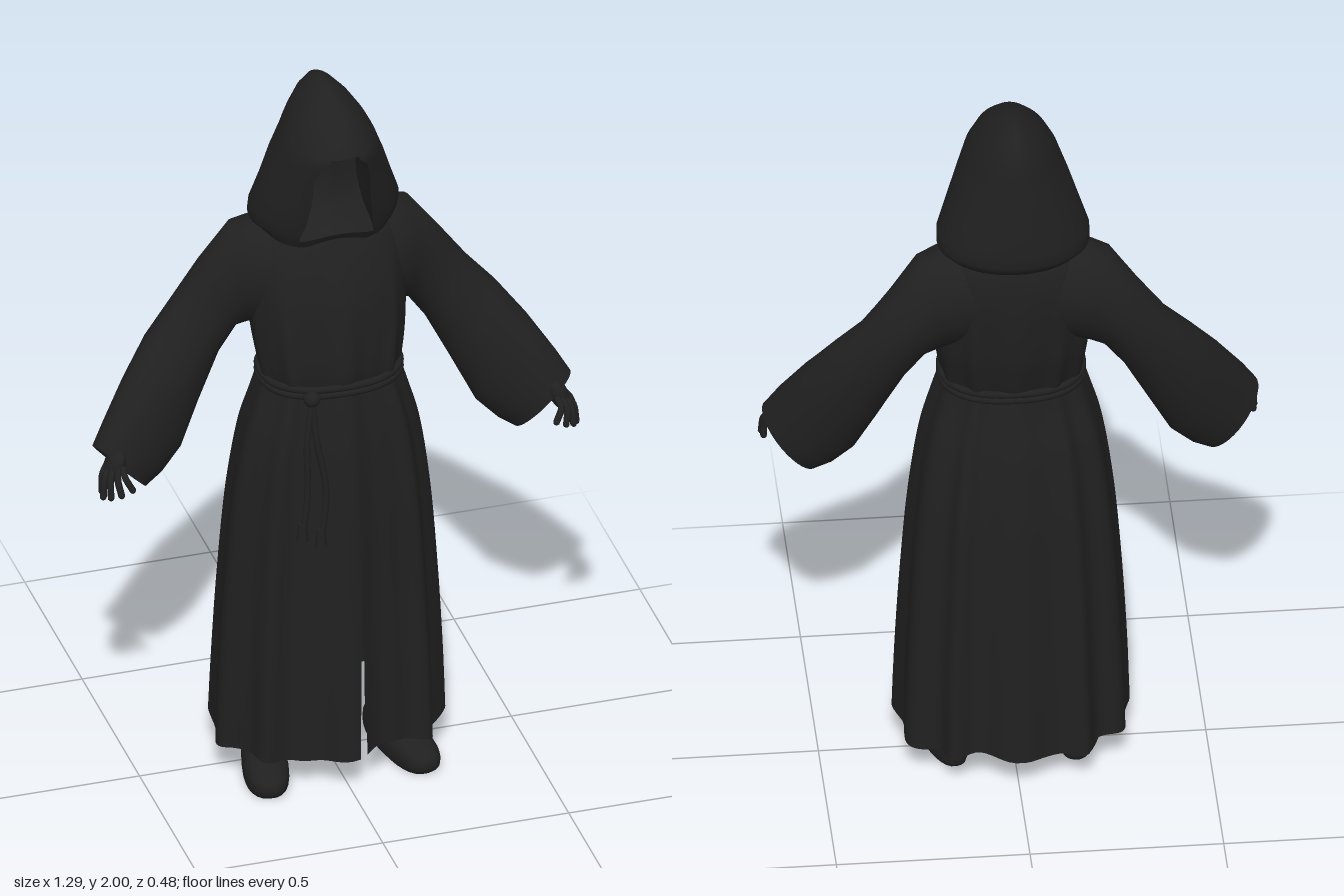
import * as THREE from 'three';
import { toCreasedNormals } from 'three/addons/utils/BufferGeometryUtils.js';

const V = (x, y, z) => new THREE.Vector3(x, y, z);
const cloth = new THREE.MeshStandardMaterial({ color: 0x202020, side: THREE.DoubleSide });
cloth.name = 'black cloth';

function add(group, name, geometry) {
  const mesh = new THREE.Mesh(geometry, cloth);
  mesh.name = name;
  group.add(mesh);
  return mesh;
}

// Skin a list of equal-length point rings
function loft(rows, closed = true) {
  const n = rows[0].length, index = [];
  const spans = closed ? n : n - 1;
  for (let i = 0; i < rows.length - 1; i++) {
    for (let j = 0; j < spans; j++) {
      const k = (j + 1) % n, a = i * n, b = a + n;
      index.push(a + j, a + k, b + k, a + j, b + k, b + j);
    }
  }
  const g = new THREE.BufferGeometry().setFromPoints(rows.flat());
  g.setIndex(index);
  g.computeVertexNormals();
  return g;
}

const power = (v, p) => Math.sign(v) * Math.abs(v) ** p;

// Rounded outline point: half width w, back z and front z, p < 1 is squarer
function outline(t, y, w, back, front, p = 1) {
  return V(w * power(Math.sin(t), p), y, (front + back) / 2 + (front - back) / 2 * power(Math.cos(t), p));
}

// Interpolate profile rows into smooth intermediate rows
function smoothRows(rows, steps) {
  const a = new THREE.CatmullRomCurve3(rows.map((r) => V(r[0], r[1], 0)));
  const b = new THREE.CatmullRomCurve3(rows.map((r) => V(r[2], r[3], 0)));
  return Array.from({ length: steps + 1 }, (_, i) => {
    const p = a.getPoint(i / steps), q = b.getPoint(i / steps);
    return [p.x, p.y, q.x, q.y];
  });
}

// Mirrored pleats: angle from the front and width of each ridge, -1 valley to 1 ridge
const ridges = [[0, 0.16], [0.75, 0.17], [1.4, 0.2], [2.05, 0.18], [2.62, 0.13], [Math.PI, 0.15]];
function folds(t) {
  const a = Math.PI - Math.abs(Math.PI - (t % (Math.PI * 2)));
  const ridge = ridges.reduce((sum, [c, s]) => sum + Math.exp(-(((a - c) / s) ** 2)), 0);
  return 2 * ridge - 1 + 0.15 * Math.sin(17 * t + 1);
}

function pleated(rows, amount, slit, n = 140) {
  return rows.map(([y, w, back, front]) => {
    const gap = slit(y), amp = amount(y);
    return Array.from({ length: n + 1 }, (_, j) => {
      const t = 0.07 + gap + (j / n) * (Math.PI * 2 - 2 * gap);
      const p = outline(t, y, w, back, front, 0.85), f = folds(t);
      p.x *= 1 + amp * 0.4 * (f - 0.7);
      p.z *= 1 + amp * (f - 0.3);
      p.y += y < 0.2 ? 0.008 * Math.sin(5 * t) : 0;
      return p;
    });
  });
}

function addHood(group) {
  // y, half width, back, front, opening half width, depth of recess (null = shut)
  const rows = [
    [1.59, 0.14, -0.13, 0.07, 0.09, null],
    [1.595, 0.175, -0.155, 0.105, 0.1, null],
    [1.615, 0.195, -0.17, 0.118, 0.1, null],
    [1.625, 0.198, -0.173, 0.122, 0.1, 0.1],
    [1.655, 0.197, -0.174, 0.138, 0.09, 0.05],
    [1.72, 0.174, -0.165, 0.155, 0.08, 0.03],
    [1.80, 0.147, -0.158, 0.17, 0.075, 0.03],
    [1.845, 0.129, -0.151, 0.185, 0.06, 0.04],
    [1.866, 0.121, -0.147, 0.188, 0.04, 0.06],
    [1.875, 0.117, -0.146, 0.182, 0.035, null],
    [1.91, 0.099, -0.14, 0.165, 0.03, null],
    [1.95, 0.07, -0.128, 0.115, 0.025, null],
    [1.98, 0.038, -0.105, 0.05, 0.015, null],
    [1.995, 0.016, -0.075, 0.005, 0.006, null],
    [2.0, 0, -0.035, -0.035, 0, null],
  ];
  const rings = rows.map(([y, w, b, f, o, recess]) => {
    const t0 = w ? Math.asin(o / w) : 0.3, ring = [];
    for (let j = 0; j <= 40; j++) ring.push(outline(t0 + (j / 40) * (Math.PI * 2 - 2 * t0), y, w, b, f));
    for (let j = 0; j <= 12; j++) {
      const p = outline(t0 * (j / 6 - 1), y, w, b, f);
      if (recess !== null) p.z = recess - 0.02 * Math.abs(j / 6 - 1);
      ring.push(p);
    }
    // The front hem hangs in two lobes either side of the throat
    const hang = Math.max(0, (1.66 - y) / 0.07);
    for (const p of ring) {
      if (p.z > 0) p.y -= 0.03 * hang * Math.min(1, p.z / 0.06) * Math.exp(-(((Math.abs(p.x) - 0.11) / 0.06) ** 2));
    }
    return ring;
  });
  add(group, 'hood', toCreasedNormals(loft(rings), 0.8));
}

function addSleeve(group, side, name) {
  // Top point, bottom point, half thickness, from the shoulder to inside the cuff
  const rows = [
    [V(0.05, 1.62, -0.03), V(0.09, 1.34, -0.01), 0.12],
    [V(0.16, 1.615, -0.045), V(0.15, 1.32, -0.02), 0.112],
    [V(0.24, 1.59, -0.06), V(0.2, 1.31, -0.035), 0.096],
    [V(0.32, 1.485, -0.065), V(0.23, 1.3, -0.045), 0.083],
    [V(0.395, 1.385, -0.055), V(0.28, 1.23, -0.04), 0.076],
    [V(0.465, 1.31, -0.025), V(0.345, 1.1, -0.025), 0.08],
    [V(0.535, 1.22, 0.015), V(0.405, 0.98, -0.005), 0.08],
    [V(0.6, 1.12, 0.06), V(0.46, 0.925, 0.005), 0.075],
    [V(0.635, 1.06, 0.08), V(0.505, 0.898, 0.015), 0.068],
    [V(0.61, 1.06, 0.075), V(0.5, 0.925, 0.02), 0.05],
    [V(0.53, 1.14, 0.03), V(0.45, 1.03, 0.01), 0.03],
  ];
  const centers = rows.map(([a, b]) => a.clone().add(b).multiplyScalar(0.5));
  const rings = rows.map(([a, b, th], i) => {
    const u = a.clone().sub(b).multiplyScalar(0.5);
    const m = Math.min(i, 8);
    const axis = centers[Math.min(m + 1, 8)].clone().sub(centers[Math.max(m - 1, 0)]);
    const v = axis.cross(u).normalize().multiplyScalar(th);
    const ring = Array.from({ length: 32 }, (_, j) => {
      const t = (j / 32) * Math.PI * 2;
      const wrinkle = 1 + (i > 2 && i < 8 ? 0.05 * Math.sin(3 * t + i * 2) : 0);
      const p = centers[i].clone().addScaledVector(u, Math.cos(t)).addScaledVector(v, Math.sin(t) * wrinkle);
      p.x *= side;
      return p;
    });
    return side > 0 ? ring : ring.reverse();
  });
  add(group, name + 'Sleeve', toCreasedNormals(loft(rings), 1));
}

function addHand(group, side, name) {
  const hand = new THREE.Group();
  hand.name = name + 'Hand';
  const palm = add(hand, 'palm', new THREE.SphereGeometry(1, 16, 12));
  palm.scale.set(0.025, 0.05, 0.038);
  palm.position.set(side * 0.597, 1.015, 0.095);
  palm.rotation.z = side * 0.4;
  const tips = [V(0.632, 0.945, 0.1), V(0.636, 0.942, 0.125), V(0.622, 0.95, 0.148), V(0.598, 0.96, 0.162), V(0.57, 0.975, 0.168)];
  tips.forEach((tip, i) => {
    const start = V(0.608 - i * 0.006, 1.02, 0.08 + i * 0.012);
    const mid = start.clone().lerp(tip, 0.5).add(V(0.01, 0.012, 0.008));
    const pts = [start, mid, tip].map((p) => V(p.x * side, p.y, p.z));
    add(hand, 'finger', new THREE.TubeGeometry(new THREE.CatmullRomCurve3(pts), 8, 0.009, 8));
    add(hand, 'fingertip', new THREE.SphereGeometry(0.009, 8, 6)).position.copy(pts[2]);
  });
  group.add(hand);
}

function addShoe(group, side, name) {
  // Rounded shoe with a flat sole and full heel, wider and lower at the toe
  const g = new THREE.SphereGeometry(1, 28, 20), p = g.attributes.position;
  for (let i = 0; i < p.count; i++) {
    const x = power(p.getX(i), 0.8), y = p.getY(i), z = power(p.getZ(i), 0.8);
    p.setXYZ(i, x * (0.058 + 0.008 * z), Math.max(0, 0.025 + power(y, 0.8) * (0.058 - 0.012 * z)), z * 0.166);
  }
  g.computeVertexNormals();
  const shoe = add(group, name + 'Shoe', g);
  shoe.position.set(side * 0.183, 0.004, 0.057);
  shoe.rotation.y = side * 0.2;
  const ankle = add(group, name + 'Ankle', new THREE.CylinderGeometry(0.052, 0.05, 0.14, 16));
  ankle.position.set(side * 0.168, 0.12, -0.03);
}

export function createModel() {
  const model = new THREE.Group();
  model.name = 'hoodedRobe';

  // Upper robe, gathered at the waist
  const torso = smoothRows([[1.17, 0.182, -0.108, 0.163], [1.21, 0.19, -0.12, 0.17], [1.3, 0.202, -0.142, 0.166],
    [1.42, 0.206, -0.153, 0.152], [1.53, 0.198, -0.152, 0.118], [1.6, 0.155, -0.135, 0.085], [1.63, 0.06, -0.07, 0.03]], 30);
  add(model, 'torso', loft(pleated(torso, (y) => 0.06 * Math.max(0, 1 - (y - 1.17) / 0.36), () => 0)));

  // Long skirt with a narrow slit up the front
  const skirt = smoothRows([[0.1, 0.306, -0.222, 0.228], [0.3, 0.299, -0.21, 0.222], [0.55, 0.285, -0.195, 0.212],
    [0.8, 0.264, -0.178, 0.205], [1.0, 0.234, -0.15, 0.192], [1.1, 0.206, -0.125, 0.178], [1.18, 0.182, -0.108, 0.163]], 36);
  add(model, 'skirt', loft(pleated(skirt, (y) => 0.05 + 0.05 * (1 - y / 1.2),
    (y) => 0.03 * Math.max(0, (0.6 - y) / 0.5)), false));

  // Rope belt, knot and hanging cords
  const waist = Array.from({ length: 40 }, (_, j) => outline(j / 40 * Math.PI * 2, 1.175, 0.183, -0.112, 0.17, 0.85));
  for (const dy of [-0.009, 0.009]) {
    const line = new THREE.CatmullRomCurve3(waist.map((p) => V(p.x, p.y + dy, p.z)), true);
    add(model, 'belt', new THREE.TubeGeometry(line, 80, 0.01, 8, true));
  }
  const knot = add(model, 'beltKnot', new THREE.SphereGeometry(0.022, 12, 8));
  knot.position.set(-0.09, 1.165, 0.172);
  for (const [x, end] of [[-0.125, 0.77], [-0.075, 0.745]]) {
    const line = new THREE.CatmullRomCurve3([V(-0.09, 1.165, 0.175), V((x - 0.09) / 2, 1.05, 0.19),
      V(x + 0.015, 0.9, 0.2), V(x, end, 0.205)]);
    add(model, 'beltCord', new THREE.TubeGeometry(line, 24, 0.009, 8));
    const tassel = add(model, 'cordTassel', new THREE.CylinderGeometry(0.01, 0.016, 0.05, 10));
    tassel.position.set(x, end + 0.02, 0.205);
  }

  addHood(model);
  for (const [side, name] of [[1, 'left'], [-1, 'right']]) {
    addSleeve(model, side, name);
    addHand(model, side, name);
    addShoe(model, side, name);
  }
  return model;
}
